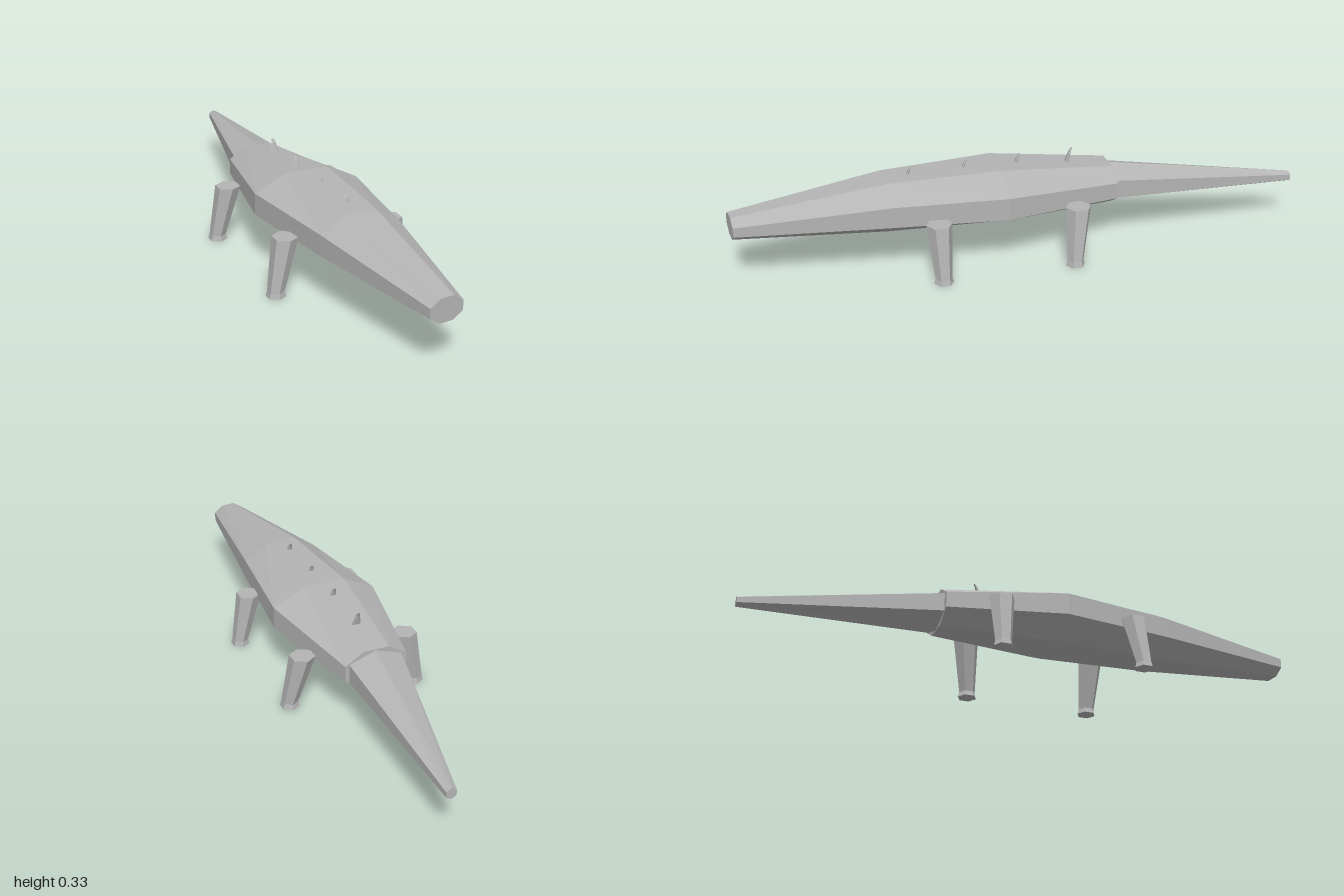
import * as THREE from 'three';

const skin = new THREE.MeshStandardMaterial({ color: 0xb4b4b4, flatShading: true });
skin.name = 'grey skin';

// Cross-section of n points in the XY plane, anticlockwise seen from +z
function uprightRing(n, phase, cx, cy, cz, rx, ry, yaw = 0) {
  return Array.from({ length: n }, (_, i) => {
    const a = phase + (i / n) * Math.PI * 2;
    const x = Math.cos(a) * rx;
    return new THREE.Vector3(cx + x * Math.cos(yaw), cy + Math.sin(a) * ry, cz - x * Math.sin(yaw));
  });
}

// Cross-section of n points in the XZ plane, anticlockwise seen from +y
function flatRing(n, phase, cx, cy, cz, rx, rz) {
  return Array.from({ length: n }, (_, i) => {
    const a = phase + (i / n) * Math.PI * 2;
    return new THREE.Vector3(cx + Math.cos(a) * rx, cy, cz - Math.sin(a) * rz);
  });
}

// Closed faceted skin through rings, ordered front to back or top to bottom
function loft(name, rings) {
  const pos = [];
  const tri = (a, b, c) => [a, b, c].forEach((p) => pos.push(p.x, p.y, p.z));
  const n = rings[0].length;
  const middle = (r) => r.reduce((s, p) => s.add(p), new THREE.Vector3()).divideScalar(n);
  const last = rings[rings.length - 1];
  const start = middle(rings[0]);
  const end = middle(last);
  for (let i = 0; i < n; i++) {
    const j = (i + 1) % n;
    for (let k = 0; k < rings.length - 1; k++) {
      const r = rings[k], s = rings[k + 1];
      tri(r[i], s[i], r[j]);
      tri(r[j], s[i], s[j]);
    }
    tri(start, rings[0][i], rings[0][j]);
    tri(end, last[j], last[i]);
  }
  const geometry = new THREE.BufferGeometry();
  geometry.setAttribute('position', new THREE.Float32BufferAttribute(pos, 3));
  geometry.computeVertexNormals();
  const mesh = new THREE.Mesh(geometry, skin);
  mesh.name = name;
  return mesh;
}

export function createModel() {
  const model = new THREE.Group();
  model.name = 'lizard';

  // Octagonal body, snout to hips: centre x, y, z, half width, half height, yaw
  const flat8 = Math.cos(Math.PI / 8);
  const body = [
    [0.014, 0.2, 0.99, 0.059, 0.04, 0.1],
    [0.003, 0.218, 0.47, 0.142, 0.088, 0.03],
    [0, 0.219, 0.08, 0.191, 0.094, 0],
    [0, 0.2, -0.333, 0.112, 0.068, 0],
  ];
  model.add(loft('body', body.map(([x, y, z, w, h, yaw]) =>
    uprightRing(8, Math.PI / 8, x, y, z, w / flat8, h / flat8, yaw))));

  // Hexagonal tail with a ridge on top, bending to the left
  model.add(loft('tail', [
    uprightRing(6, Math.PI / 6, 0.001, 0.199, -0.325, 0.111, 0.066),
    uprightRing(6, Math.PI / 6, 0.088, 0.165, -1, 0.02, 0.019),
  ]));

  // Splayed hexagonal legs with flared feet: side, hip z, foot z
  const legs = [
    ['frontLeftLeg', 1, 0.322, 0.32],
    ['frontRightLeg', -1, 0.322, 0.337],
    ['backLeftLeg', 1, -0.163, -0.142],
    ['backRightLeg', -1, -0.163, -0.17],
  ];
  for (const [name, side, hipZ, footZ] of legs) {
    const ring = (x, y, z, r) => flatRing(6, Math.PI / 6, side * x, y, z, r, r);
    model.add(loft(name, [
      ring(0.191, 0.199, hipZ, 0.045),
      ring(0.231, 0.018, footZ, 0.029),
      ring(0.231, 0, footZ, 0.034),
    ]));
  }

  // Row of thin spines curving backwards
  for (const z of [0.385, 0.192, 0.003, -0.187]) {
    model.add(loft('spine', [
      flatRing(6, 0, 0, 0.334, z - 0.011, 0.005, 0.002),
      flatRing(6, 0, 0, 0.322, z - 0.004, 0.008, 0.004),
      flatRing(6, 0, 0, 0.283, z + 0.008, 0.018, 0.006),
    ]));
  }

  return model;
}
